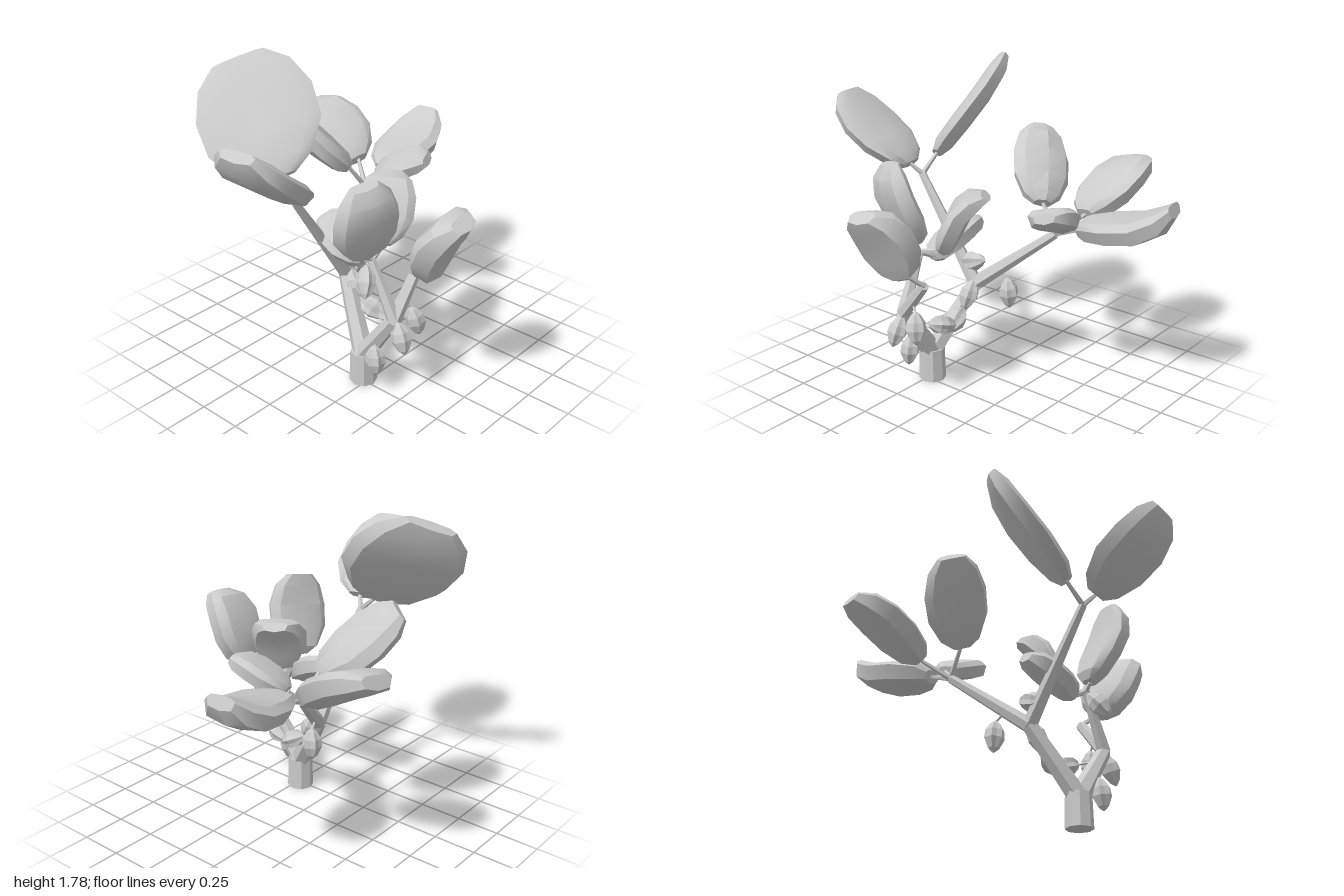
import * as THREE from 'three';
import { toCreasedNormals } from 'three/addons/utils/BufferGeometryUtils.js';

const V = (p) => new THREE.Vector3(...p);
const mat = new THREE.MeshStandardMaterial({ color: 0xcccccc });
const flat = new THREE.MeshStandardMaterial({ color: 0xcccccc, flatShading: true });

function named(geometry, name, material = mat) {
  const mesh = new THREE.Mesh(geometry, material);
  mesh.name = name;
  return mesh;
}

// Tapered limb between two points
function limb(name, a, b, r1, r2, sides = 6) {
  const p = V(a), q = V(b), d = q.clone().sub(p);
  const mesh = named(new THREE.CylinderGeometry(r2, r1, d.length(), sides), name, flat);
  mesh.position.copy(p).add(q).multiplyScalar(0.5);
  mesh.quaternion.setFromUnitVectors(new THREE.Vector3(0, 1, 0), d.normalize());
  return mesh;
}

// Thick leaf lofted from base to tip: [position along, half width, half thickness]
const STATIONS = [
  [0, 0.3, 0.5], [0.1, 0.64, 0.9], [0.34, 0.97, 1], [0.62, 1, 1], [0.86, 0.8, 0.9], [1, 0.45, 0.5],
];
const SECTION = [[1, 0.25], [0.74, 0.8], [0, 1], [-0.74, 0.8], [-1, 0.25], [-0.82, -0.75], [0, -1], [0.82, -0.75]];

// sag bends the leaf along its length (negative arches it), cup raises its sides
function leaf({ base, tip, width, up = [0, 1, 0], thick = 0.06, sag = 0.04, cup = 0.01 }) {
  const start = V(base), along = V(tip).sub(start), d = along.clone().normalize();
  const n = V(up);
  n.addScaledVector(d, -n.dot(d)).normalize();
  const w = n.clone().cross(d);
  const pos = [], index = [], N = SECTION.length;
  for (const [t, sw, st] of STATIONS) {
    for (const [u, v] of SECTION) {
      const lift = v * thick * st - sag * 6.75 * t * t * (1 - t) + cup * u * u * sw;
      const p = start.clone().addScaledVector(along, t)
        .addScaledVector(w, u * sw * width / 2).addScaledVector(n, lift);
      pos.push(p.x, p.y, p.z);
    }
  }
  for (let s = 0; s < STATIONS.length - 1; s++) {
    for (let i = 0; i < N; i++) {
      const a = s * N + i, b = s * N + (i + 1) % N;
      index.push(a, b, b + N, a, b + N, a + N);
    }
  }
  // End caps
  const last = (STATIONS.length - 1) * N;
  for (let i = 1; i < N - 1; i++) {
    index.push(0, i + 1, i, last, last + i, last + i + 1);
  }
  const g = new THREE.BufferGeometry();
  g.setAttribute('position', new THREE.Float32BufferAttribute(pos, 3));
  g.setIndex(index);
  return named(toCreasedNormals(g, 0.55), 'leaf');
}

// Ridged pod: a spindle whose alternate edges are pulled in
function podGeometry() {
  const profile = [[0.004, -0.095], [0.03, -0.07], [0.055, -0.015], [0.051, 0.03], [0.027, 0.07], [0.004, 0.09]];
  const g = new THREE.LatheGeometry(profile.map(([r, y]) => new THREE.Vector2(r, y)), 12);
  const p = g.attributes.position;
  for (let i = 0; i < p.count; i++) {
    const column = Math.floor(i / profile.length);
    const k = column % 2 ? 0.82 : 1.04;
    p.setXYZ(i, p.getX(i) * k, p.getY(i), p.getZ(i) * k);
  }
  return g;
}

export function createModel() {
  const tree = new THREE.Group();
  tree.name = 'podTree';

  // Trunk and main branches
  const top = [0.22, 0.17, 0.235];
  const forkA = [-0.02, 0.54, 0.11], forkB = [-0.23, 0.87, -0.29];
  const forkC = [0.44, 0.48, 0.24], budD = [0.44, 0.68, 0.08], budE = [0.29, 0.79, 0.25];
  const budF = [-0.015, 1.12, 0.5];
  tree.add(
    limb('trunk', [0.22, 0, 0.235], [0.22, 0.19, 0.235], 0.077, 0.072, 8),
    limb('leftBranch', top, forkA, 0.06, 0.044),
    limb('backBranch', forkA, forkB, 0.044, 0.026),
    limb('frontBranch', forkA, budF, 0.042, 0.022),
    limb('rightBranch', top, forkC, 0.06, 0.04),
    limb('rightUpperBranch', forkC, budD, 0.04, 0.03),
    limb('rightInnerBranch', forkC, budE, 0.04, 0.024),
  );

  // Leaves, each with a twig from its branch
  const leaves = [
    { from: forkB, base: [-0.23, 0.93, -0.45], tip: [-0.31, 1.13, -0.97], width: 0.35, thick: 0.075, sag: 0.06 },
    { from: forkB, base: [-0.37, 0.97, -0.39], tip: [-0.82, 1.2, -0.46], width: 0.41, up: [0.3, 1, 0.28], thick: 0.075, sag: -0.02 },
    { from: forkB, base: [-0.2, 0.95, -0.37], tip: [0.1, 1.08, -0.45], width: 0.27, up: [0, 1, 0.2], sag: -0.01 },
    { from: forkB, base: [-0.26, 1.02, -0.18], tip: [-0.57, 1.36, 0.06], width: 0.35, up: [-0.22, 1, -0.28], thick: 0.07, sag: -0.01, cup: -0.04 },
    { from: budF, base: [-0.13, 1.22, 0.49], tip: [-0.56, 1.73, 0.35], width: 0.65, up: [0.17, 0.23, 0.27], thick: 0.06, sag: 0.02, cup: 0 },
    { from: budF, base: [0.03, 1.18, 0.55], tip: [0.1, 1.55, 0.97], width: 0.46, sag: 0.03 },
    { from: budD, base: [0.55, 0.77, 0.12], tip: [0.8, 1.14, 0.16], width: 0.37, up: [-0.6, 1, 0.2], thick: 0.09, sag: -0.04 },
    { from: budE, base: [0.28, 0.83, 0.29], tip: [0.36, 1.28, 0.39], width: 0.37, up: [-0.9, 0.25, -0.3], thick: 0.07, sag: 0.04 },
    { from: budE, base: [0.26, 0.82, 0.12], tip: [0.13, 1.14, -0.09], width: 0.31, up: [0.1, 1, 0.1], thick: 0.065, sag: -0.05 },
    { from: budE, base: [0.22, 0.75, 0.22], tip: [-0.11, 0.89, 0.17], width: 0.27, up: [0.1, 1, 0.35], thick: 0.065, sag: -0.01 },
  ];
  for (const spec of leaves) {
    tree.add(limb('twig', spec.from, spec.base, 0.016, 0.011, 5), leaf(spec));
  }

  // Pods: centre, long axis (pointing to the stalk), stalk foot
  const pods = [
    [[-0.11, 0.5, -0.06], [0.05, 1, 0.05], [-0.09, 0.63, 0]],
    [[0.04, 0.49, 0.11], [-0.4, 1, -0.1], [-0.01, 0.56, 0.12]],
    [[0.16, 0.38, 0.1], [-1, 0.5, 0.2], [0.07, 0.42, 0.15]],
    [[0.28, 0.39, 0.1], [1, 0.3, 0.3], [0.37, 0.41, 0.2]],
    [[0.35, 0.21, 0.285], [-0.1, 1, -0.05], [0.33, 0.33, 0.23]],
    [[0.49, 0.39, 0.24], [-0.4, 1, -0.1], [0.44, 0.48, 0.24]],
    [[0.48, 0.44, 0.11], [-0.2, 1, 0.2], [0.44, 0.56, 0.17]],
    [[0.31, 0.7, 0.32], [-0.4, 0.7, -0.5], [0.3, 0.76, 0.25]],
    [[-0.02, 0.67, 0.13], [0, -0.3, 1], [-0.02, 0.64, 0.19]],
  ];
  const podShape = podGeometry();
  for (const [at, axis, foot] of pods) {
    const pod = named(podShape, 'pod', flat);
    const dir = V(axis).normalize();
    pod.position.copy(V(at));
    pod.quaternion.setFromUnitVectors(new THREE.Vector3(0, 1, 0), dir);
    const stalkTop = V(at).addScaledVector(dir, 0.08).toArray();
    tree.add(pod, limb('podStalk', stalkTop, foot, 0.006, 0.008, 5));
  }
  return tree;
}
